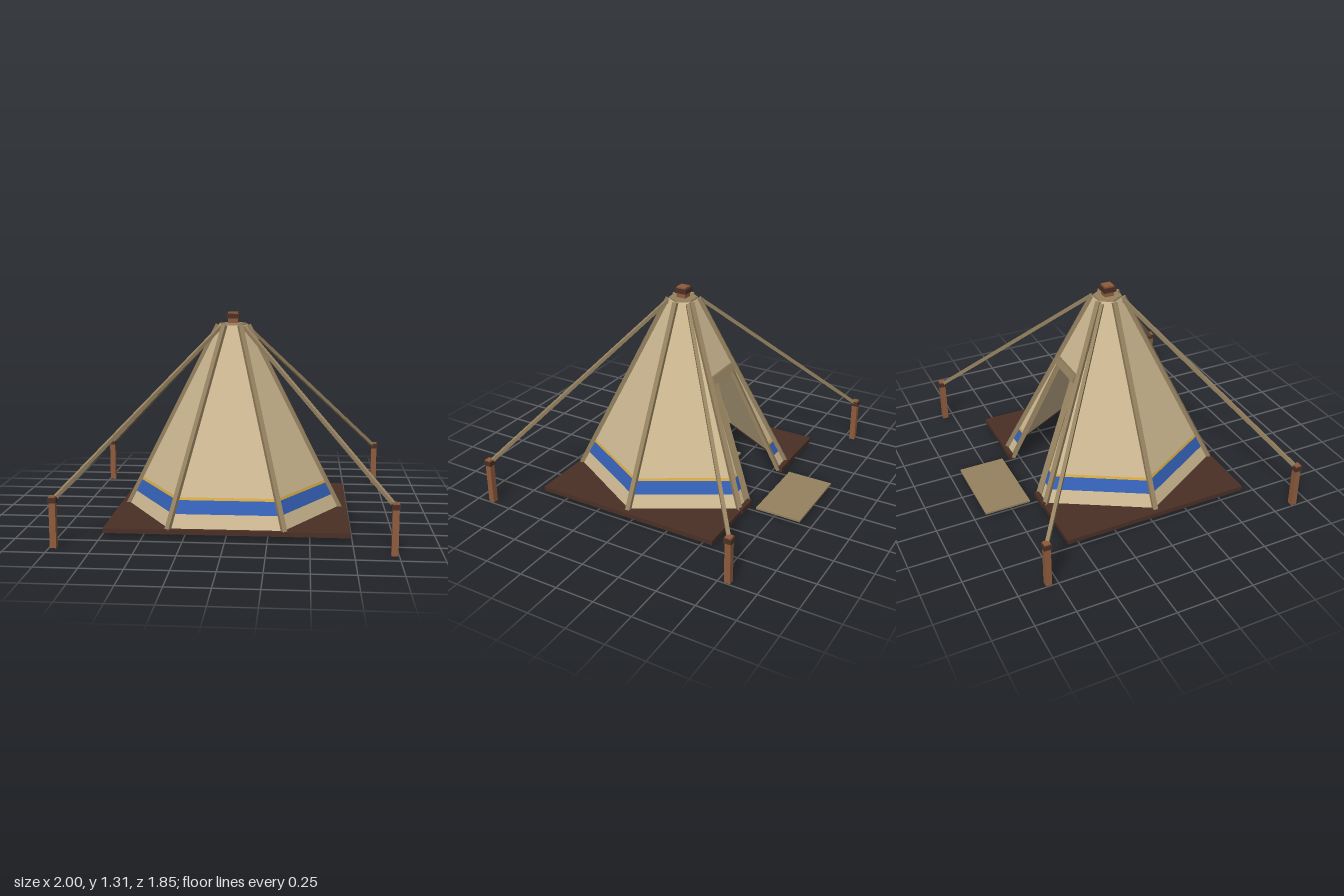
import * as THREE from 'three';

const mat = (name, color, side = THREE.FrontSide) => {
  const m = new THREE.MeshStandardMaterial({ color, side });
  m.name = name;
  return m;
};

export function createModel() {
  const canvas = mat('canvas', 0xcdb891, THREE.DoubleSide);
  const trim = mat('trim', 0x968260);
  const blue = mat('blue band', 0x345fb4);
  const yellow = mat('yellow stripe', 0xd4a843);
  const darkWood = mat('dark wood', 0x4a3026);
  const wood = mat('wood', 0x8f5b3d);
  const black = mat('lantern base', 0x2a2119);
  const glow = mat('lantern glow', 0xd9bd6a);

  const CZ = 0.045; // tent centre in z
  const COS = Math.cos(Math.PI / 6);
  const Y0 = 0.03, Y1 = 1.23;
  const radius = (y) => 0.69 - (0.595 * (y - Y0)) / (Y1 - Y0);
  const group = new THREE.Group();

  const add = (name, geometry, material, x = 0, y = 0, z = 0) => {
    const mesh = new THREE.Mesh(geometry, material);
    mesh.name = name;
    mesh.position.set(x, y, z);
    group.add(mesh);
    return mesh;
  };
  const box = (name, w, h, d, material, x, y, z) =>
    add(name, new THREE.BoxGeometry(w, h, d), material, x, y, z);
  const beam = (name, a, b, w, h, material) => {
    const mesh = box(name, w, h, a.distanceTo(b), material, 0, 0, 0);
    mesh.position.copy(a).lerp(b, 0.5);
    mesh.lookAt(b);
    return mesh;
  };

  // point on a tent face: u runs along the face, off lifts it outwards
  const facePoint = (phi, u, y, off = 0) => {
    const a = radius(y) * COS + off;
    return new THREE.Vector3(
      Math.cos(phi) * a - Math.sin(phi) * u, y, CZ + Math.sin(phi) * a + Math.cos(phi) * u);
  };
  // quad on a face between two heights, bounded by functions lo(y) and hi(y)
  const panel = (name, phi, lo, hi, y0, y1, off, material) => {
    const c = [[hi(y0), y0], [lo(y0), y0], [lo(y1), y1], [hi(y1), y1]]
      .map(([u, y]) => facePoint(phi, u, y, off));
    const g = new THREE.BufferGeometry().setFromPoints([c[0], c[1], c[2], c[0], c[2], c[3]]);
    g.computeVertexNormals();
    add(name, g, material);
  };
  const edge = (y) => radius(y) / 2 + 0.002;
  const banded = (phi, lo, hi, top) => {
    panel('canvasPanel', phi, lo, hi, Y0, top, 0, canvas);
    panel('blueBand', phi, lo, hi, 0.13, 0.208, 0.006, blue);
    panel('yellowStripe', phi, lo, hi, 0.208, 0.224, 0.006, yellow);
  };

  // five full walls
  for (let i = 0; i < 5; i++) {
    banded(-Math.PI / 6 + (i * Math.PI) / 3, (y) => -edge(y), edge, Y1);
  }

  // back wall with the doorway
  const back = -Math.PI / 2, doorTop = 0.76;
  const door = (y) => 0.235 - (0.12 * (y - Y0)) / (doorTop - Y0);
  banded(back, door, edge, doorTop);
  banded(back, (y) => -edge(y), (y) => -door(y), doorTop);
  panel('overDoorPanel', back, (y) => -edge(y), edge, doorTop, Y1, 0, canvas);
  for (const s of [-1, 1]) {
    beam('doorJamb', facePoint(back, s * door(Y0), 0.04, 0.004),
      facePoint(back, s * door(doorTop), doorTop, 0.004), 0.045, 0.022, trim);
    box('doorSill', 0.13, 0.035, 0.03, darkWood, s * 0.295, 0.045, -0.57);
  }
  const lintel = box('doorLintel', 0.27, 0.05, 0.035, trim, 0, 0, 0);
  lintel.position.copy(facePoint(back, 0, doorTop + 0.01, 0.005));
  lintel.rotation.x = 0.41;

  // ridge poles and top collar
  for (let i = 0; i < 6; i++) {
    const a = (i * Math.PI) / 3;
    const at = (r, y) => new THREE.Vector3(Math.cos(a) * r, y, CZ + Math.sin(a) * r);
    beam('ridgePole', at(0.7, 0.04), at(0.1, 1.23), 0.03, 0.025, trim);
  }
  const collar = new THREE.CylinderGeometry(0.09, 0.1, 0.03, 6).toNonIndexed();
  collar.rotateY(Math.PI / 6 + Math.PI / 3);
  collar.computeVertexNormals();
  add('topCollar', collar, trim, 0, 1.225, CZ);

  // centre pole and its cap ring
  box('centrePole', 0.062, 1.285, 0.062, wood, 0, 0.6675, CZ);
  box('poleCap', 0.082, 0.03, 0.082, darkWood, 0, 1.285, CZ);

  // rectangular base around the six-sided floor opening, cut at the door
  const half = [[0.74, 0.62], [0.74, -0.62], [0.23, -0.62], [0.23, -0.6],
    [0.345, -0.597], [0.69, 0], [0.345, 0.597]];
  const outline = [...half, ...half.map(([x, z]) => [-x, z]).reverse()];
  const baseShape = new THREE.Shape(outline.map(([x, z]) => new THREE.Vector2(x, z)));
  const base = new THREE.ExtrudeGeometry(baseShape, { depth: 0.03, bevelEnabled: false });
  base.rotateX(Math.PI / 2);
  add('base', base, darkWood, 0, 0.05, CZ);

  // rugs inside and outside
  box('innerRug', 0.64, 0.012, 0.55, trim, 0, 0.03, CZ);
  box('doorMat', 0.51, 0.012, 0.3, trim, 0, 0.024, -0.777);

  // lantern by the door
  box('lanternBase', 0.11, 0.02, 0.11, black, 0, 0.035, -0.305);
  box('lanternBody', 0.08, 0.11, 0.08, glow, 0, 0.1, -0.31);

  // stakes and guy ropes
  for (const sx of [-1, 1]) {
    for (const sz of [-1, 1]) {
      const x = sx * 0.975, z = CZ + sz * 0.853;
      box('stake', 0.038, 0.305, 0.038, wood, x, 0.1525, z);
      box('stakeCap', 0.05, 0.03, 0.05, darkWood, x, 0.282, z);
      beam('guyRope', new THREE.Vector3(x, 0.28, z),
        new THREE.Vector3(sx * 0.075, 1.22, CZ + sz * 0.075), 0.022, 0.022, trim);
    }
  }
  return group;
}
